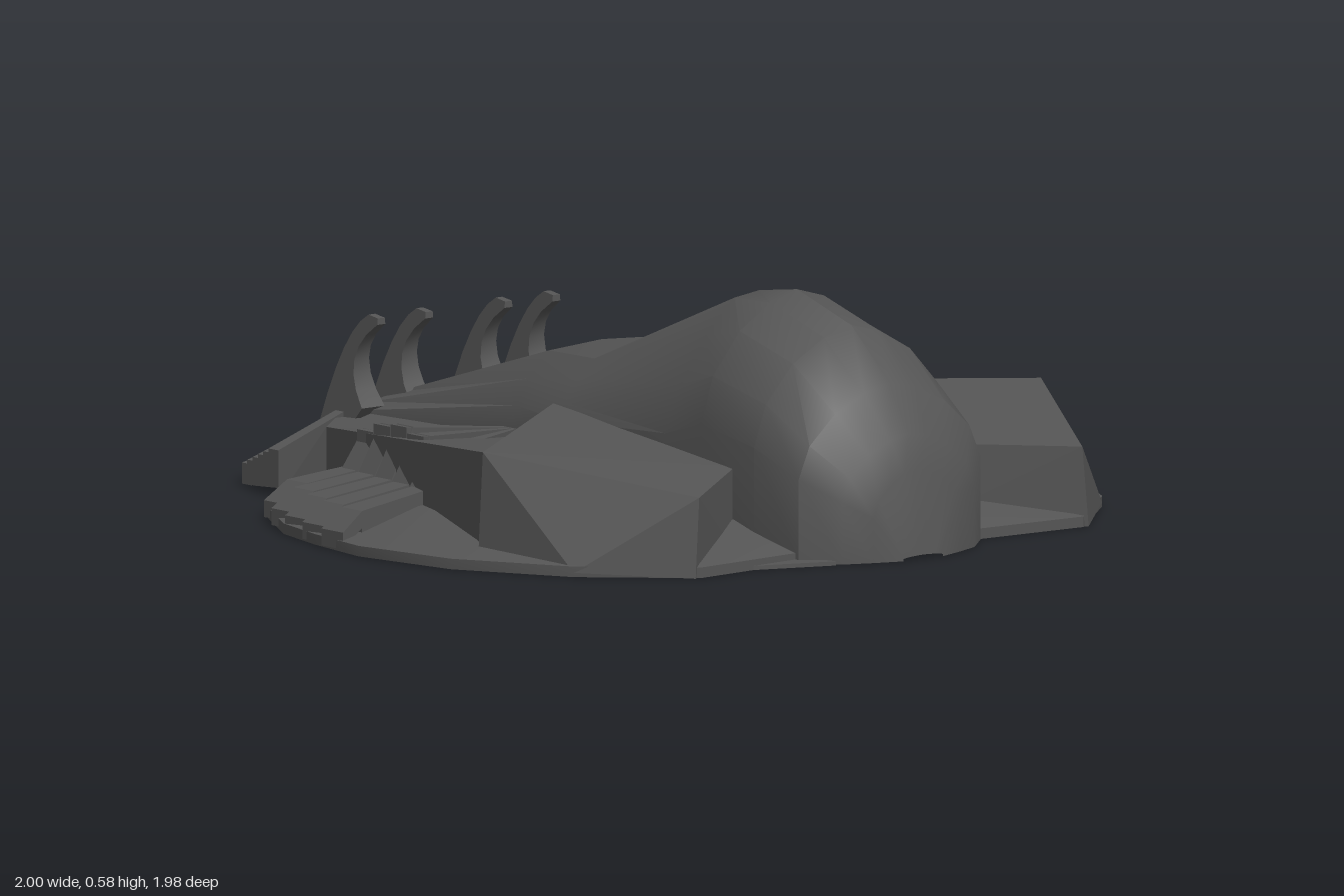
import * as THREE from 'three';
import { ConvexGeometry } from 'three/addons/geometries/ConvexGeometry.js';
import { toCreasedNormals } from 'three/addons/utils/BufferGeometryUtils.js';

const material = new THREE.MeshStandardMaterial({ color: 0x555555, side: THREE.DoubleSide });

function add(parent, name, geometry) {
  const mesh = new THREE.Mesh(geometry, material);
  mesh.name = name;
  parent.add(mesh);
  return mesh;
}

// Convex solid around points, mirrored in x by side
function hull(points, side = 1) {
  return new ConvexGeometry(points.map(([x, y, z]) => new THREE.Vector3(x * side, y, z)));
}

// Solid from top corners straight down to the ground
function prism(tops, side) {
  return hull([...tops, ...tops.map(([x, , z]) => [x, 0, z])], side);
}

// Tapering slat from a to b: widths run along z, h is the thickness
function slat(a, b, wa, wb, h, side) {
  const points = [];
  for (const [[x, y, z], w] of [[a, wa], [b, wb]])
    for (const s of [-0.5, 0.5]) points.push([x, y, z + s * w], [x, y - h, z + s * w]);
  return hull(points, side);
}

// Skin over equal rows of points
function loft(rows) {
  const n = rows[0].length;
  const index = [];
  for (let i = 0; i < rows.length - 1; i++)
    for (let j = 0; j < n - 1; j++) {
      const a = i * n + j, b = a + 1, c = a + n, d = c + 1;
      index.push(a, c, b, b, c, d);
    }
  const g = new THREE.BufferGeometry();
  g.setAttribute('position', new THREE.Float32BufferAttribute(rows.flat(2), 3));
  g.setIndex(index);
  return toCreasedNormals(g, 0.45);
}

// Mirrored section across the body: half profile [x, y] from ground to ridge
function section(z, half) {
  const left = half.map(([x, y]) => [x, y, z]);
  const right = half.slice(0, -1).reverse().map(([x, y]) => [-x, y, z]);
  return [...left, ...right];
}

function domeSection(z, w, h) {
  const unit = [[1, 0], [1, 0.5], [0.88, 0.69], [0.6, 0.86], [0.28, 0.96], [0, 1]];
  return section(z, unit.map(([x, y]) => [x * w, y * h]));
}

// Low round base plate, sloping up toward the middle
function basePlate() {
  const half = [[0.28, 0.85], [0.58, 0.87], [0.8, 0.67], [0.95, 0.4], [1, 0.12], [0.97, -0.08],
    [0.93, -0.24], [0.82, -0.43], [0.58, -0.65], [0.5, -0.75], [0.3, -0.85]];
  const outline = [...half, ...half.map(([x, z]) => [-x, z]).reverse()];
  outline.push(outline[0]);
  const ring = (k, y) => outline.map(([x, z]) => [x * k, y, z * k]);
  return loft([ring(0, 0), ring(1, 0), ring(1, 0.025), ring(0.75, 0.08), ring(0, 0.1)]);
}

// Curved claw, narrowing toward its tip
function claw(x) {
  const shape = new THREE.Shape();
  shape.moveTo(0.72, 0.17);
  shape.quadraticCurveTo(0.82, 0.29, 0.69, 0.37);
  shape.lineTo(0.69, 0.385);
  shape.lineTo(0.725, 0.39);
  shape.quadraticCurveTo(0.81, 0.35, 0.87, 0.12);
  shape.lineTo(0.76, 0.12);
  shape.closePath();
  const g = new THREE.ExtrudeGeometry(shape, { depth: 0.08, bevelEnabled: false, curveSegments: 6 });
  g.translate(0, 0, -0.04);
  g.rotateY(Math.PI / 2);
  const p = g.attributes.position;
  for (let i = 0; i < p.count; i++) {
    const k = THREE.MathUtils.mapLinear(p.getY(i), 0.12, 0.39, 1, 0.25);
    p.setX(i, p.getX(i) * k + x);
  }
  return toCreasedNormals(g, 0.6);
}

export function createModel() {
  const model = new THREE.Group();
  model.name = 'crawler';
  add(model, 'basePlate', basePlate());

  // Domed head running back into a sloping roof
  add(model, 'body', loft([
    domeSection(0.985, 0.06, 0.01),
    domeSection(0.96, 0.13, 0.21),
    domeSection(0.93, 0.2, 0.29),
    domeSection(0.86, 0.275, 0.4),
    domeSection(0.72, 0.295, 0.52),
    domeSection(0.52, 0.29, 0.58),
    section(0.38, [[0.285, 0], [0.285, 0.25], [0.24, 0.36], [0.16, 0.47], [0.075, 0.55], [0, 0.56]]),
    section(-0.02, [[0.28, 0], [0.28, 0.23], [0.26, 0.27], [0.22, 0.32], [0.17, 0.365], [0, 0.37]]),
    section(-0.2, [[0.28, 0], [0.28, 0.17], [0.26, 0.24], [0.22, 0.3], [0.16, 0.36], [0, 0.37]]),
    section(-0.81, [[0.29, 0], [0.29, 0.14], [0.26, 0.15], [0.2, 0.165], [0.12, 0.18], [0, 0.18]]),
    section(-0.87, [[0.29, 0], [0.29, 0.05], [0.26, 0.06], [0.2, 0.07], [0.12, 0.08], [0, 0.08]]),
  ]));

  for (const side of [1, -1]) {
    const half = new THREE.Group();
    half.name = side > 0 ? 'leftSide' : 'rightSide';
    model.add(half);

    // Shoulder: sloping front plate, hollow behind its ridge, rear flank
    const innerFront = [0.27, 0.2, 0.62], front = [0.58, 0.19, 0.865], outer = [0.845, 0.265, 0.39];
    const innerBack = [0.27, 0.265, -0.05], ribRoot = [0.27, 0.17, -0.2];
    const rearTip = [0.53, 0.17, -0.57], rearEnd = [0.29, 0.14, -0.82];
    add(half, 'shoulderFront', hull([innerFront, front, outer, innerBack, [0.27, 0, 0.62], [0.595, 0, 0.87],
      [0.8, 0.01, 0.67], [0.86, 0, 0.39], [0.27, 0, -0.05]], side));
    add(half, 'shoulderMiddle', prism([innerBack, outer, ribRoot], side));
    add(half, 'shoulderRear', prism([ribRoot, outer, rearTip], side));
    add(half, 'rearFlank', prism([ribRoot, rearTip, rearEnd], side));
    add(half, 'rearSkirt', prism([rearTip, [0.58, 0.03, -0.65], rearEnd], side));

    // Fan of ribs over the shoulder, each with a foot on the plate
    for (let i = 0; i < 5; i++) {
      const t = i / 4;
      const y = 0.2 + 0.035 * Math.sin(t * Math.PI);
      const z = -0.33 + 0.32 * t;
      const x = 0.61 + 0.06 * t;
      add(half, 'upperRib', slat([0.28, 0.19, -0.22 + 0.04 * t], [x, y, z], 0.012, 0.06, 0.13, side));
      add(half, 'ribDrop', slat([x - 0.02, y, z], [x + 0.05, 0.1, z - 0.005], 0.06, 0.06, 0.1, side));
      const endX = [0.83, 0.89, 0.93, 0.96, 0.985][i];
      add(half, 'lowerRib', slat([x, 0.12, z], [endX - 0.06, 0.09, -0.385 + 0.39 * t], 0.055, 0.075, 0.09, side));
      add(half, 'ribFoot', slat([endX - 0.06, 0.09, -0.385 + 0.39 * t], [endX, 0.045, -0.395 + 0.4 * t],
        0.075, 0.08, 0.04, side));
    }

    // Rear corner toe made of fanned slats
    for (let i = 0; i < 6; i++) {
      const t = i / 5;
      add(half, 'toeSlat', slat([0.3, 0.155 - 0.07 * t, -0.8 - 0.085 * t],
        [0.6 - 0.055 * t, 0.11 - 0.06 * t, -0.68 - 0.165 * t], 0.03, 0.036, 0.09 - 0.04 * t, side));
    }

    add(half, 'innerClaw', claw(0.12 * side));
    add(half, 'outerClaw', claw(0.265 * side));
  }

  // Middle toe: stepped slats, each peaked at its centre
  for (let i = 0; i < 5; i++) {
    const y = 0.165 - 0.025 * i, z = -0.83 - 0.032 * i;
    const w = 0.165 - 0.004 * (i % 2);
    add(model, 'middleToeSlat', hull([y, 0.03].flatMap((h) => [[-w, h, z + 0.06], [w, h, z + 0.06],
      [w, h, z - 0.012], [0, h, z - 0.032], [-w, h, z - 0.012]])));
  }

  // Thin web beside the head on one side
  add(model, 'frontWeb', hull([0, 0.01].flatMap((y) => [[-0.26, y, 0.7], [-0.22, y, 0.93], [-0.54, y, 0.81]])));

  return model;
}
